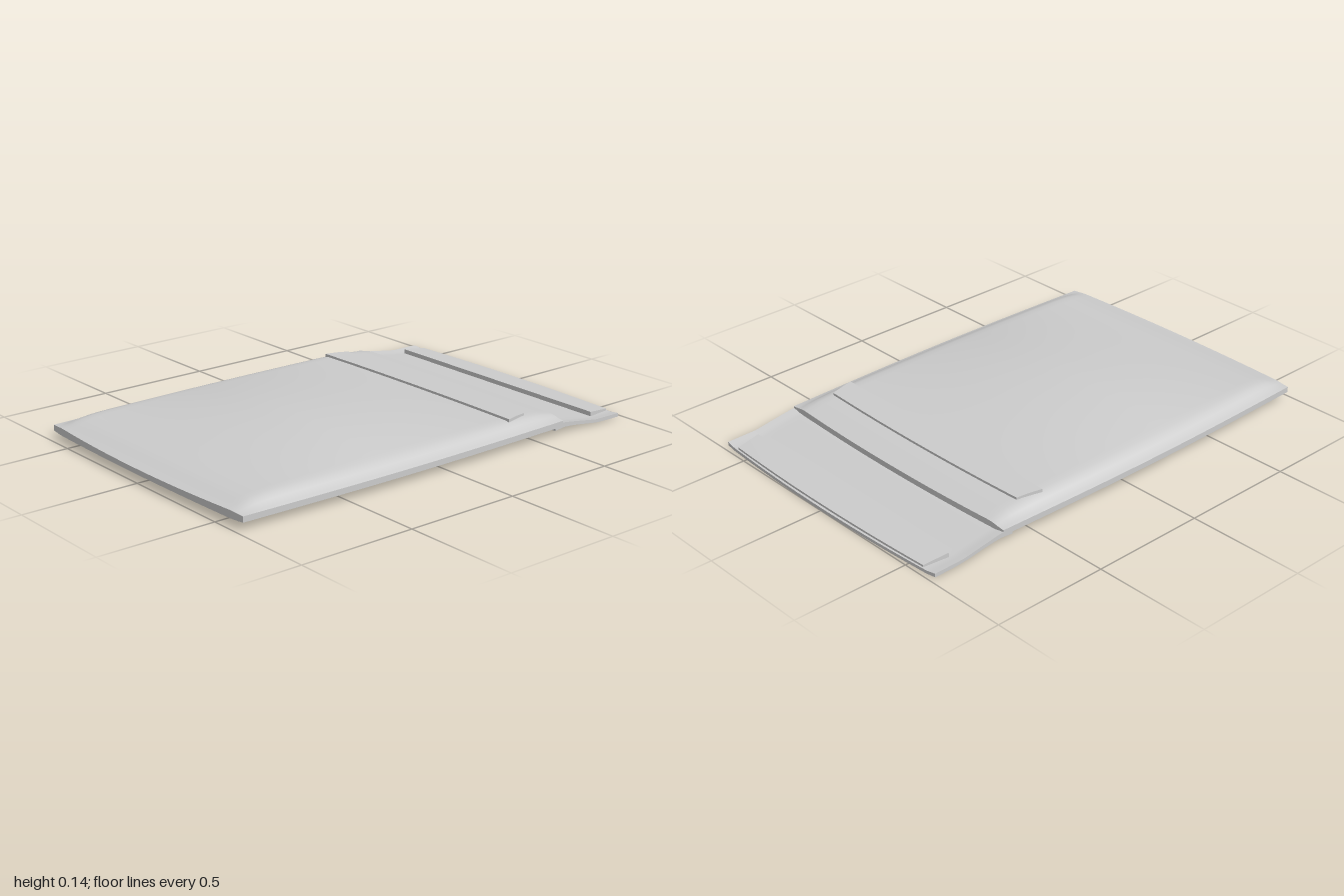
import * as THREE from 'three';
import { toCreasedNormals } from 'three/addons/utils/BufferGeometryUtils.js';

const material = new THREE.MeshStandardMaterial({ color: 0xcccccc, side: THREE.DoubleSide });

// piecewise linear lookup in a list of [position, value]
function lookup(points, x) {
  if (x <= points[0][0]) return points[0][1];
  for (let i = 1; i < points.length; i++) {
    const [a, va] = points[i - 1], [b, vb] = points[i];
    if (x <= b) return va + ((vb - va) * (x - a)) / (b - a);
  }
  return points[points.length - 1][1];
}

// closed sheet: x runs from start(t) to end(t), z = t * width(u), between two height rules
function sheet(name, { us, ts, start, end, width, top, bottom }) {
  const pos = [], index = [], n = ts.length, ring = 2 * n;
  for (const u of us) {
    const put = (t, height) => {
      const x = start(t) + (end(t) - start(t)) * u;
      pos.push(x, height(x, t, u), t * width(u));
    };
    ts.forEach((t) => put(t, top));
    [...ts].reverse().forEach((t) => put(t, bottom));
  }
  for (let i = 0; i < us.length - 1; i++) {
    for (let j = 0; j < ring; j++) {
      const a = i * ring + j, b = i * ring + ((j + 1) % ring);
      index.push(a, b, a + ring, b, b + ring, a + ring);
    }
  }
  // end caps
  const last = (us.length - 1) * ring;
  for (let j = 0; j < n - 1; j++) {
    const a = j, b = j + 1, c = ring - 1 - j, d = ring - 2 - j;
    index.push(a, c, b, b, c, d);
    index.push(last + a, last + b, last + c, last + b, last + d, last + c);
  }
  const geometry = new THREE.BufferGeometry();
  geometry.setAttribute('position', new THREE.Float32BufferAttribute(pos, 3));
  geometry.setIndex(index);
  const mesh = new THREE.Mesh(toCreasedNormals(geometry, 0.65), material);
  mesh.name = name;
  return mesh;
}

const steps = (n, a = 0, b = 1) => Array.from({ length: n + 1 }, (_, i) => a + ((b - a) * i) / n);

// padded pouch heights along its length and toward its side seams
const crown = [[-1, 0.058], [-0.96, 0.067], [-0.9, 0.085], [-0.6, 0.116], [-0.3, 0.14],
  [0, 0.127], [0.4, 0.098], [0.58, 0.084], [0.66, 0.067]];
const seam = [[0, 1], [0.87, 1], [0.91, 0.85], [0.96, 0.25], [1, 0]];
const rim = 0.058;
function pouchTop(x, t) {
  const c = lookup(crown, x), shoulder = Math.min(c, 0.094), s = Math.abs(t);
  const dome = Math.max(0, 1 - (s / 0.9) ** 2);
  return rim + (shoulder - rim) * lookup(seam, s) + (c - shoulder) * dome;
}
const underside = [[-1, 0.036], [-0.96, 0.024], [-0.9, 0.016], [0.55, 0.015], [0.66, 0.024]];
function pouchBottom(x, t) {
  const y = lookup(underside, x);
  return y + (Math.max(y, 0.034) - y) * lookup([[0.9, 0], [1, 1]], Math.abs(t));
}

// closing flap heights
const flapTopLine = [[0.6, 0.046], [0.66, 0.043], [0.72, 0.034], [0.84, 0.015], [1, 0.013]];
const flapBottomLine = [[0.6, 0.02], [0.66, 0.026], [0.72, 0.02], [0.84, 0.003], [0.9, 0], [1, 0]];
const flapLift = (t) => 0.006 * lookup([[0.93, 0], [1, 1]], Math.abs(t));
const flapTop = (x, t) => lookup(flapTopLine, x) + flapLift(t);
const flapBottom = (x, t) => lookup(flapBottomLine, x) + flapLift(t) * 0.7;

export function createModel() {
  const group = new THREE.Group();
  group.name = 'paddedEnvelope';
  const across = [-1, -0.98, -0.96, -0.935, -0.91, -0.87, ...steps(20, -0.82, 0.82),
    0.87, 0.91, 0.935, 0.96, 0.98, 1];

  // padded pouch with gently bowed edges
  group.add(sheet('pouch', {
    us: [0, 0.012, 0.024, 0.042, 0.06, ...steps(24, 0.09, 0.93), 0.95, 0.975, 1],
    ts: across,
    start: (t) => -1 + 0.024 * t * t,
    end: (t) => 0.662 - 0.018 * t * t,
    width: (u) => 0.638 + 0.017 * Math.sin(Math.PI * u),
    top: pouchTop,
    bottom: pouchBottom,
  }));

  // thin flap reaching out from under the pouch mouth
  group.add(sheet('flap', {
    us: steps(14),
    ts: across,
    start: () => 0.6,
    end: (t) => 1 - 0.024 * t * t,
    width: () => 0.638,
    top: flapTop,
    bottom: flapBottom,
  }));

  // raised strip across the pouch
  group.add(sheet('pouchStrip', {
    us: steps(5),
    ts: steps(24, -1, 1),
    start: () => 0.392,
    end: (t) => 0.513 - 0.012 * t * t,
    width: (u) => 0.58 - 0.025 * u,
    top: (x, t) => pouchTop(x, t * 0.87) + 0.01,
    bottom: (x, t) => pouchTop(x, t * 0.87) - 0.01,
  }));

  // adhesive strip along the flap edge
  group.add(sheet('flapStrip', {
    us: steps(5),
    ts: steps(24, -1, 1),
    start: () => 0.865,
    end: (t) => 0.99 - 0.016 * t * t,
    width: (u) => 0.585 - 0.015 * u,
    top: (x, t, u) => 0.034 - 0.012 * u,
    bottom: () => 0.008,
  }));

  return group;
}
